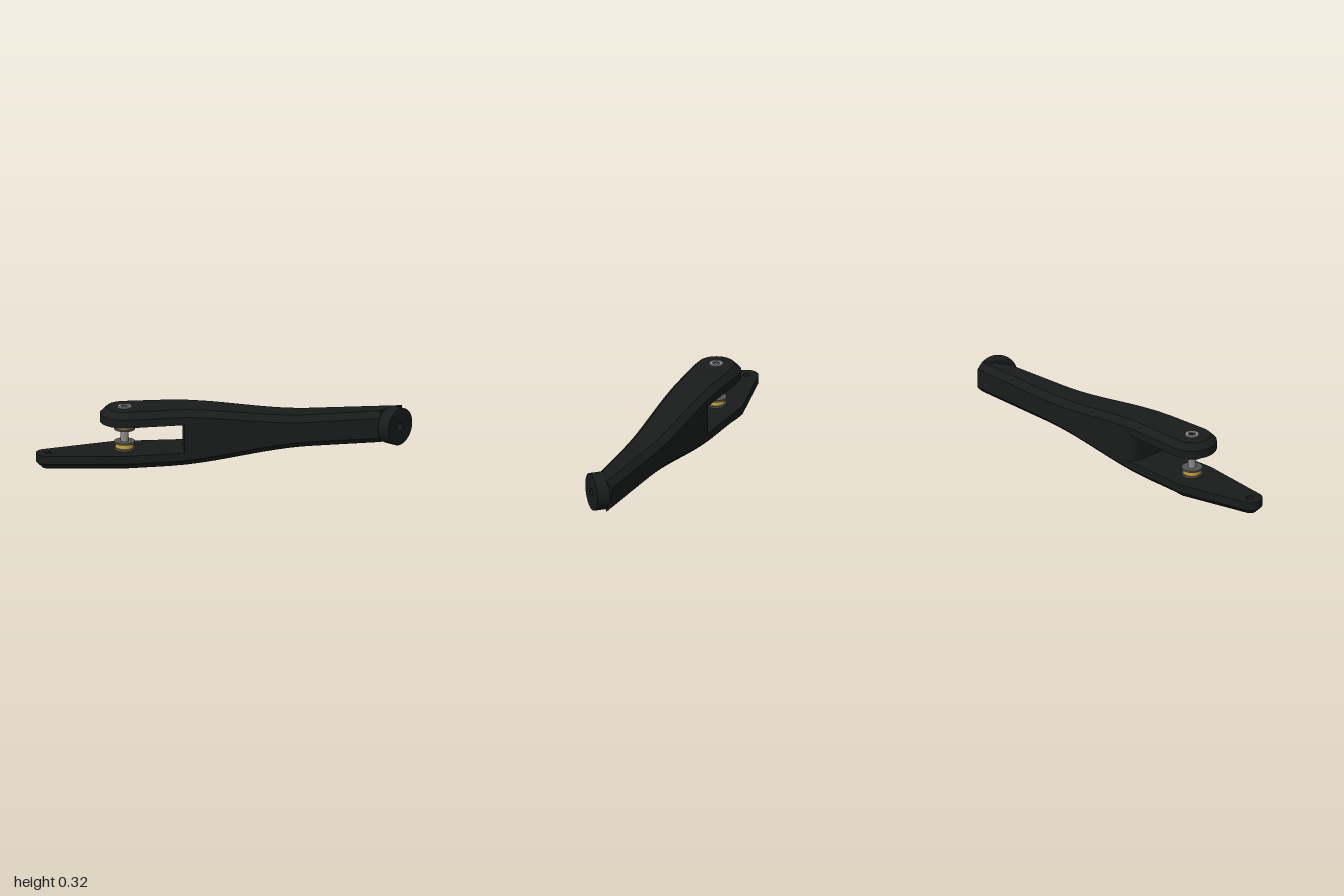
import * as THREE from 'three';
import { toCreasedNormals } from 'three/addons/utils/BufferGeometryUtils.js';

const MID = 0.158, GAP = 0.0775, CH = 0.033, STEP = -0.1;
const PIN = [-0.53, 0.03], EYE = [-0.935, 0.075];

// outline edges and half thickness of the arm along x
const backZ = x => -0.102 - 0.0408 * (x + 0.53);
const frontZ = x => 0.16 - 0.126 * (x + 0.53);
const halfH = x => THREE.MathUtils.lerp(0.155, 0.087, THREE.MathUtils.smoothstep(x, -0.3, 0.45));

// a station pairs back and front edge points with their chamfer insets
function station(xb, zb, xf, zf, inner = 0) {
  return { b: [xb, zb], f: [xf, zf], bi: [xb, zb + CH], fi: [xf, zf - CH], inner };
}

function arcStations([cx, cz], r, maxAngle) {
  const list = [];
  for (let k = 0; k <= 10; k++) {
    const t = maxAngle * k / 10;
    const at = (q, s) => [cx - q * Math.cos(t), cz + s * q * Math.sin(t)];
    list.push({ b: at(r, -1), f: at(r, 1), bi: at(r - CH, -1), fi: at(r - CH, 1), inner: GAP });
  }
  return list;
}

function armStations() {
  const list = [];
  const add = (x, inner) => list.push(station(x, backZ(x), x, frontZ(x), inner));
  [-0.5, -0.3, -0.2, STEP].forEach(x => add(x, GAP));
  for (let x = STEP; x < 0.79; x += 0.05) add(x, 0);
  list.push(station(0.94, backZ(0.94), 0.82, frontZ(0.82), 0));
  return list;
}

// skin one half of the arm; side = 1 for upper, -1 for lower
function halfArm(stations, side, openCaps = 0) {
  const pos = [], idx = [];
  stations.forEach(({ b, f, bi, fi, inner }) => {
    const put = (p, v) => pos.push(p[0], MID + side * v, p[1]);
    const hb = halfH(b[0]), hf = halfH(f[0]);
    put(b, inner); put(b, hb - CH); put(bi, hb);
    put(fi, hf); put(f, hf - CH); put(f, inner);
  });
  const tri = (a, b, c) => side > 0 ? idx.push(a, b, c) : idx.push(a, c, b);
  for (let i = 0; i < stations.length - 1; i++) {
    for (let j = 0; j < 6; j++) {
      if (i < openCaps && (j === 2 || j === 5)) continue;
      const k = (j + 1) % 6, p = i * 6, q = p + 6;
      tri(p + j, p + k, q + k);
      tri(p + j, q + k, q + j);
    }
  }
  const end = (stations.length - 1) * 6;
  for (let j = 1; j < 5; j++) tri(end, end + j, end + j + 1);
  const g = new THREE.BufferGeometry();
  g.setAttribute('position', new THREE.Float32BufferAttribute(pos, 3));
  g.setIndex(idx);
  return toCreasedNormals(g, 0.45);
}

// flat face with the eye hole, spanning the first few stations
function holedFace(stations, back, front) {
  const pts = stations.map(s => s[front]).concat(stations.map(s => s[back]).reverse());
  const shape = new THREE.Shape(pts.slice(1, -1).map(p => new THREE.Vector2(p[0], p[1])));
  const hole = new THREE.Path();
  hole.absarc(EYE[0], EYE[1], 0.019, 0, Math.PI * 2, true);
  shape.holes.push(hole);
  return new THREE.ShapeGeometry(shape, 12).rotateX(Math.PI / 2);
}

export function createModel() {
  const root = new THREE.Group();
  const black = new THREE.MeshStandardMaterial({ color: 0x1a1c1c, side: THREE.DoubleSide });
  const steel = new THREE.MeshStandardMaterial({ color: 0x8c8c8c });
  const dark = new THREE.MeshStandardMaterial({ color: 0x555555 });
  const brass = new THREE.MeshStandardMaterial({ color: 0xc9a23a });

  const add = (name, geo, mat, parent = root, x = 0, y = 0, z = 0) => {
    const m = new THREE.Mesh(geo, mat);
    m.name = name;
    m.position.set(x, y, z);
    parent.add(m);
    return m;
  };

  // arm halves: short rounded upper fork, long tapered lower fork
  const arm = armStations();
  add('upperArm', halfArm([...arcStations(PIN, 0.13, 1.6), ...arm], 1), black);
  const tip = arcStations(EYE, 0.065, 1.4);
  tip.push(station(-0.57, -0.105, -0.53, 0.16, GAP));
  add('lowerArm', halfArm([...tip, ...arm], -1, tip.length - 1), black);

  // pierced faces and bore of the lower fork tip
  add('forkTipInnerFace', holedFace(tip, 'b', 'f'), black, root, 0, MID - GAP, 0);
  add('forkTipOuterFace', holedFace(tip, 'bi', 'fi'), black, root, 0, MID - 0.155, 0);
  add('eyeBore', new THREE.CylinderGeometry(0.019, 0.019, 0.0775, 24, 1, true), black,
    root, EYE[0], MID - 0.11625, EYE[1]);

  // web closing the fork slot, rounded at the back
  const web = new THREE.Shape();
  web.moveTo(-0.22, frontZ(-0.22));
  web.lineTo(STEP, frontZ(STEP));
  web.lineTo(STEP, backZ(STEP));
  web.lineTo(-0.16, backZ(-0.16));
  web.quadraticCurveTo(-0.22, backZ(-0.22), -0.22, backZ(-0.22) + 0.06);
  web.closePath();
  const webGeo = new THREE.ExtrudeGeometry(web, { depth: GAP * 2, bevelEnabled: false, curveSegments: 8 });
  add('forkWeb', toCreasedNormals(webGeo.rotateX(Math.PI / 2), 0.5), black, root, 0, MID + GAP, 0);

  // round angled end pad with a central recess
  const padProfile = [[0, 0], [0.1, 0], [0.1, 0.07], [0.02, 0.07], [0.015, 0.03], [0, 0.03]]
    .map(p => new THREE.Vector2(p[0], p[1]));
  const pad = add('endPad', toCreasedNormals(new THREE.LatheGeometry(padProfile, 48), 0.5), black,
    root, 0.873, MID, -0.077);
  pad.quaternion.setFromUnitVectors(new THREE.Vector3(0, 1, 0), new THREE.Vector3(0.74, 0, 0.67).normalize());

  // pivot screw with nut
  const pivot = new THREE.Group();
  pivot.name = 'pivot';
  pivot.position.set(PIN[0], 0, PIN[1]);
  root.add(pivot);
  const disc = (name, r, y0, y1, mat, sides = 32) =>
    add(name, new THREE.CylinderGeometry(r, r, y1 - y0, sides), mat, pivot, 0, (y0 + y1) / 2, 0);
  disc('screwShaft', 0.021, 0, 0.31, steel);
  disc('nut', 0.036, 0.001, 0.01, brass, 6);
  const headProfile = [[0.038, 0.31], [0.038, 0.317], [0.035, 0.32], [0.02, 0.32], [0.02, 0.3125], [0, 0.3125]]
    .map(p => new THREE.Vector2(p[0], p[1]));
  add('screwHead', toCreasedNormals(new THREE.LatheGeometry(headProfile, 36), 0.5), steel, pivot);
  disc('screwSocket', 0.014, 0.311, 0.313, dark, 6);

  // flanged rollers inside the fork
  [0.081, 0.19].forEach(y => {
    disc('rollerLowerFlange', 0.055, y, y + 0.01, dark);
    disc('rollerCore', 0.047, y + 0.01, y + 0.034, brass);
    disc('rollerUpperFlange', 0.055, y + 0.034, y + 0.044, dark);
  });
  disc('upperSpacer', 0.03, 0.225, 0.24, steel);
  return root;
}
